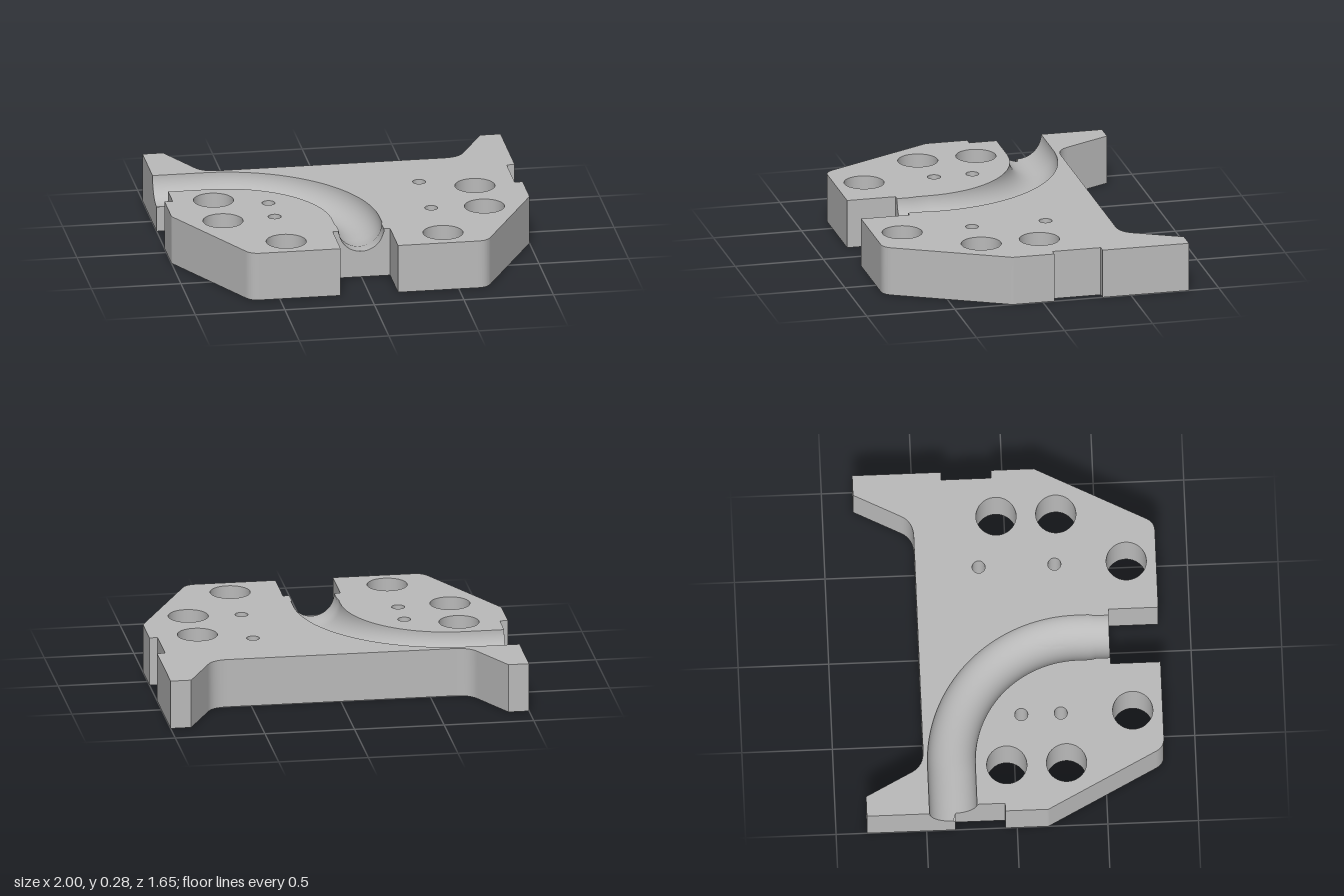
import * as THREE from 'three';
import { toCreasedNormals } from 'three/addons/utils/BufferGeometryUtils.js';

const H = 0.275, GZ = -0.352, GR = 0.132, END_R = 0.125, BEND = 0.72;
const V = (x, z) => new THREE.Vector2(x, z); // plan points are (x, z)

// Rounded corner between two tangent points
const fillet = (a, c, b) => new THREE.QuadraticBezierCurve(V(...a), V(...c), V(...b)).getPoints(8);

// Half outline from the front slot round to the back edge, then mirrored
const half = [
  V(0.16, 0.55), V(0.16, 0.825),
  ...fillet([0.61, 0.825], [0.658, 0.825], [0.682, 0.782]),
  V(1, 0.172), V(1, -0.065), V(0.955, -0.065), V(0.955, -0.34), V(1, -0.34),
  V(1, -0.83), V(0.885, -0.83),
  ...fillet([0.75, -0.57], [0.716, -0.505], [0.63, -0.505]),
];
const mirrored = half.map(p => V(-p.x, p.y)).reverse();
const outline = [...half, ...mirrored];

// Groove centre line: straight, quarter bend, straight with a narrowed mouth
function groovePath() {
  const rows = [{ x: -1, z: GZ, tx: 1, tz: 0, r: GR }];
  for (let i = 0; i <= 40; i++) {
    const a = (i / 40) * Math.PI / 2;
    rows.push({
      x: -BEND + BEND * Math.sin(a), z: GZ + BEND - BEND * Math.cos(a),
      tx: Math.cos(a), tz: Math.sin(a), r: GR,
    });
  }
  for (const [z, r] of [[0.44, GR], [0.47, END_R], [0.55, END_R]]) rows.push({ x: 0, z, tx: 0, tz: 1, r });
  return rows;
}

// Point across the groove: angle 0 is the outer rim, PI the inner rim
function groovePoint(row, a) {
  const o = row.r * Math.cos(a);
  let x = row.x + row.tz * o;
  const z = row.z - row.tx * o;
  if (row.x === -1 && z > -0.34) x = -0.955; // follows the side notch
  return [x, H - row.r * Math.sin(a), z];
}

// Top height of the outer wall, lowered where the groove runs out
function wallTop(p) {
  let d = 1, r = GR;
  if (p.x < -0.94) d = p.y - GZ;
  else if (Math.abs(p.y - 0.55) < 1e-4) { d = p.x; r = END_R; }
  return H - Math.sqrt(Math.max(0, r * r - d * d));
}

// Surface from rows of points
function gridGeometry(rows) {
  const pos = [], index = [], n = rows[0].length;
  rows.forEach((row, i) => row.forEach((p, j) => {
    pos.push(...p);
    if (!i || !j) return;
    const d = i * n + j, c = d - 1, b = d - n, a = b - 1;
    index.push(a, c, d, a, d, b);
  }));
  const g = new THREE.BufferGeometry();
  g.setAttribute('position', new THREE.Float32BufferAttribute(pos, 3));
  g.setIndex(index);
  return toCreasedNormals(g, 0.5);
}

// Flat face with round holes, facing up or down
function face(points, holes, up) {
  const s = up ? -1 : 1;
  const shape = new THREE.Shape(points.map(p => V(p.x, s * p.y)));
  for (const [x, z, r] of holes) {
    shape.holes.push(new THREE.Path().absarc(x, s * z, r, 0, Math.PI * 2, true));
  }
  const g = new THREE.ShapeGeometry(shape, 24);
  g.rotateX(s * Math.PI / 2);
  return g.translate(0, up ? H : 0, 0);
}

export function createModel() {
  const model = new THREE.Group();
  const metal = new THREE.MeshStandardMaterial({ color: 0xbababa, side: THREE.DoubleSide });
  metal.name = 'plainGrey';
  const add = (name, geometry) => {
    const m = new THREE.Mesh(geometry, metal);
    m.name = name;
    model.add(m);
    return m;
  };

  // Holes: three large ones per side, four small countersunk ones
  const large = [];
  for (const s of [-1, 1]) {
    for (const [x, z] of [[0.73, -0.047], [0.73, 0.283], [0.438, 0.66]]) large.push([s * x, z, 0.111]);
  }
  const small = [[-0.438, 0.045], [-0.438, 0.263], [0.436, -0.155], [0.436, 0.263]].map(p => [...p, 0.036]);
  const holes = [...large, ...small];

  // Groove
  const path = groovePath();
  add('curvedGroove', gridGeometry(path.map(row =>
    Array.from({ length: 33 }, (_, j) => groovePoint(row, j / 32 * Math.PI)))));
  const rim = a => path.map(row => { const p = groovePoint(row, a); return V(p[0], p[2]); });

  // Top faces on each side of the groove
  const inner = p => p[0] < 0 && Math.hypot(p[0] + BEND, p[1] - GZ - BEND) < BEND;
  const leftPart = mirrored.slice(mirrored.findIndex(p => p.x === -0.955 && p.y > -0.1));
  const rest = mirrored.slice(0, mirrored.findIndex(p => p.x === -1 && p.y === -0.83) + 1);
  add('outerTop', face([...rim(0), ...half, ...rest], holes.filter(p => !inner(p)), true));
  add('innerTop', face([...leftPart, ...rim(Math.PI).reverse()], holes.filter(inner), true));

  // Underside
  const sinks = small.map(([x, z]) => [x, z, 0.07]);
  add('underside', face(outline, [...large, ...sinks], false));

  // Outer wall
  const edge = [];
  outline.forEach((p, i) => {
    const q = outline[(i + 1) % outline.length];
    const n = Math.ceil(p.distanceTo(q) / 0.01);
    for (let k = 0; k < n; k++) edge.push(p.clone().lerp(q, k / n));
  });
  edge.push(edge[0]);
  add('outerWall', gridGeometry([wallTop, () => 0].map(h => edge.map(p => [p.x, h(p), p.y]))));

  // Hole walls and countersinks
  const bore = (name, x, z, top, bottom, y0, y1) =>
    add(name, new THREE.CylinderGeometry(top, bottom, y1 - y0, 48, 1, true)).position.set(x, (y0 + y1) / 2, z);
  for (const [x, z, r] of large) bore('largeHole', x, z, r, r, 0, H);
  for (const [x, z, r] of small) {
    bore('smallHole', x, z, r, r, 0.035, H);
    bore('countersink', x, z, r, 0.07, 0, 0.035);
  }
  return model;
}
